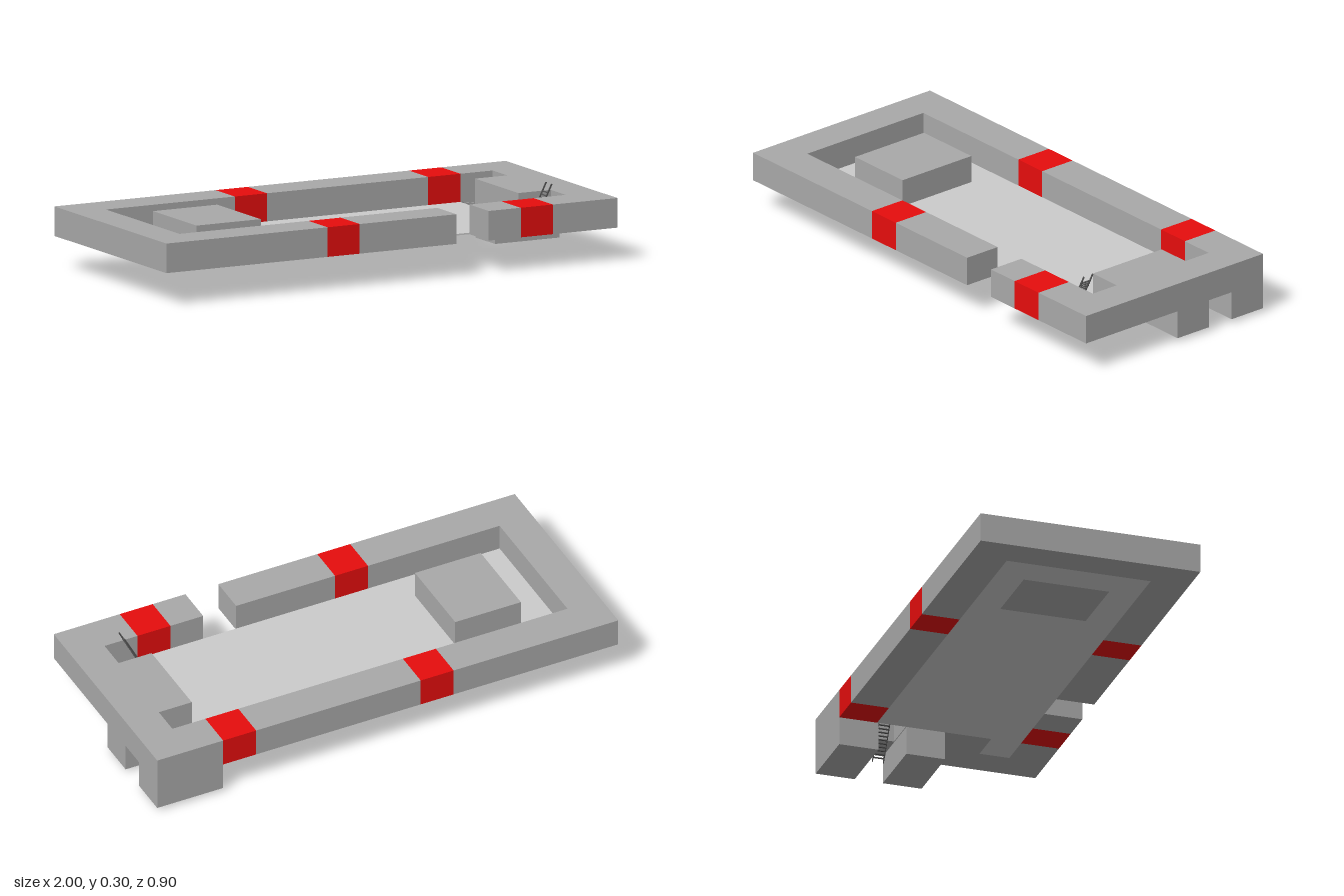
import * as THREE from 'three';

const wallMat = new THREE.MeshStandardMaterial({ color: 0xa9a9a9 });
const floorMat = new THREE.MeshStandardMaterial({ color: 0xcccccc });
const redMat = new THREE.MeshStandardMaterial({ color: 0xe60d0d });
const ladderMat = new THREE.MeshStandardMaterial({ color: 0x555555 });

const BASE = 0.13, TOP = 0.247, FLOOR = 0.136, FOOT = 0.015;

// Box given by its bounds
function block(parent, name, [x0, x1], [y0, y1], [z0, z1], mat = wallMat) {
  const mesh = new THREE.Mesh(new THREE.BoxGeometry(x1 - x0, y1 - y0, z1 - z0), mat);
  mesh.position.set((x0 + x1) / 2, (y0 + y1) / 2, (z0 + z1) / 2);
  mesh.name = name;
  parent.add(mesh);
  return mesh;
}

// Sloping ladder from (x0, y0) to (x1, y1) with rungs up to rungTop
function ladder(name, x0, y0, x1, y1, z0, z1, rungTop) {
  const g = new THREE.Group();
  g.name = name;
  const length = Math.hypot(x1 - x0, y1 - y0);
  const t = 0.003;
  for (const z of [z0 + t / 2, z1 - t / 2]) {
    const rail = new THREE.Mesh(new THREE.BoxGeometry(t * 2, length, t), ladderMat);
    rail.name = 'ladderRail';
    rail.position.set((x0 + x1) / 2, (y0 + y1) / 2, z);
    rail.rotation.z = -Math.atan2(x1 - x0, y1 - y0);
    g.add(rail);
  }
  for (let y = y0 + 0.015; y <= rungTop; y += 0.0123) {
    const x = x0 + (x1 - x0) * (y - y0) / (y1 - y0);
    block(g, 'ladderRung', [x - 0.004, x + 0.004], [y - 0.0015, y + 0.0015], [z0, z1], ladderMat);
  }
  return g;
}

export function createModel() {
  const model = new THREE.Group();
  model.name = 'walledDeck';
  const h = [BASE, TOP], back = [-0.45, -0.295], front = [0.295, 0.45];

  // Long walls with red bands; the front one has a doorway
  const reds = [[-0.286, -0.143], [0.571, 0.714]];
  for (const x of [[-1, -0.286], [-0.143, 0.571], [0.714, 1]]) block(model, 'backWall', x, h, back);
  for (const x of [[-1, -0.286], [-0.143, 0.286], [0.429, 0.571], [0.714, 1]]) block(model, 'frontWall', x, h, front);
  for (const x of reds) {
    block(model, 'redBackBand', x, h, back, redMat);
    block(model, 'redFrontBand', x, h, front, redMat);
  }

  // End walls, the left one with a thick middle
  block(model, 'rightEndWall', [-1, -0.857], h, [-0.295, 0.295]);
  block(model, 'leftEndWall', [0.857, 1], h, [-0.295, 0.295]);
  block(model, 'leftPlatform', [0.714, 0.857], h, [-0.177, 0.173]);

  // Raised block standing in the floor
  block(model, 'raisedBlock', [-0.714, -0.429], h, [-0.177, 0.173]);

  // Thin floor around the raised block, reaching into the front ladder bay
  const outline = [[-0.857, -0.295], [0.714, -0.295], [0.714, 0.173], [0.857, 0.173], [0.857, 0.295], [-0.857, 0.295]];
  const shape = new THREE.Shape(outline.map(([x, z]) => new THREE.Vector2(x, -z)));
  shape.holes.push(new THREE.Path(
    [[-0.714, 0.177], [-0.429, 0.177], [-0.429, -0.173], [-0.714, -0.173]].map(([x, y]) => new THREE.Vector2(x, y))));
  const floorGeo = new THREE.ExtrudeGeometry(shape, { depth: FLOOR - BASE, bevelEnabled: false });
  floorGeo.rotateX(-Math.PI / 2);
  const floor = new THREE.Mesh(floorGeo, floorMat);
  floor.position.y = BASE;
  floor.name = 'floor';
  model.add(floor);

  // Lower blocks either side of the passage under the hatch
  block(model, 'lowerCornerBlock', [0.714, 1], [FOOT, BASE], [-0.45, -0.29]);
  block(model, 'lowerMiddleBlock', [0.714, 1], [FOOT, BASE], [-0.175, -0.016]);

  // Ladders: one down through the hatch, one up to the wall top
  model.add(ladder('lowerLadder', 0.797, 0.001, 0.717, 0.136, -0.288, -0.24, 0.135));
  model.add(ladder('upperLadder', 0.717, FLOOR, 0.797, 0.295, 0.243, 0.291, 0.264));
  return model;
}
